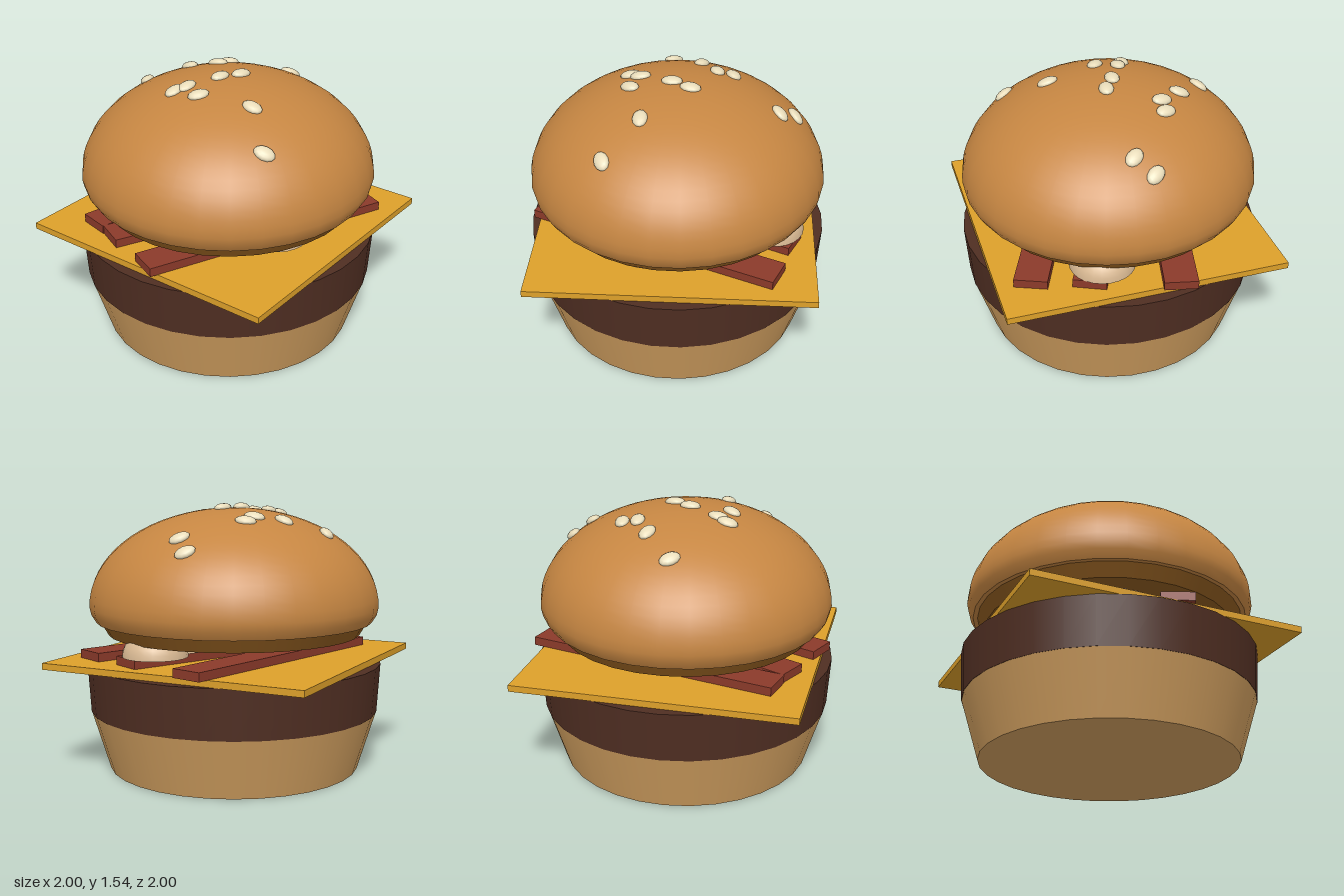
import * as THREE from 'three';
import { toCreasedNormals } from 'three/addons/utils/BufferGeometryUtils.js';

const SIDES = 32;
const paint = (color) => new THREE.MeshStandardMaterial({ color });

export function createModel() {
  const group = new THREE.Group();

  const add = (name, geometry, material, x = 0, y = 0, z = 0, yaw = 0) => {
    const mesh = new THREE.Mesh(geometry, material);
    mesh.name = name;
    mesh.position.set(x, y, z);
    mesh.rotation.y = yaw;
    group.add(mesh);
    return mesh;
  };

  // Tapered round layer from y0 to y1
  const layer = (name, rBottom, rTop, y0, y1, material) =>
    add(name, new THREE.CylinderGeometry(rTop, rBottom, y1 - y0, SIDES), material, 0, (y0 + y1) / 2);

  layer('bottomBun', 0.73, 0.835, 0, 0.342, paint(0xd2a060));
  layer('patty', 0.837, 0.855, 0.342, 0.624, paint(0x4f2e22));

  // Cheese slice turned on the patty
  add('cheese', new THREE.BoxGeometry(1.587, 0.037, 1.587), paint(0xdda02a), 0, 0.6425, 0, Math.PI / 10);

  // Bacon strips: z, yaw
  const baconMaterial = paint(0x8b3a2a);
  for (const [z, yaw] of [[0.34, -0.087], [0, -0.12], [-0.335, 0.087]]) {
    add('baconStrip', new THREE.BoxGeometry(1.5, 0.05, 0.185), baconMaterial, 0, 0.685, z, yaw);
  }

  // Mushroom caps: closed half domes tucked under the top bun
  const capProfile = [new THREE.Vector2(0, 0)];
  for (let i = 0; i <= 8; i++) {
    const a = (i / 8) * Math.PI / 2;
    capProfile.push(new THREE.Vector2(Math.max(0, 0.183 * Math.cos(a)), 0.15 * Math.sin(a)));
  }
  const capGeometry = toCreasedNormals(new THREE.LatheGeometry(capProfile, 24), 0.6);
  const capMaterial = paint(0xd9b993);
  for (const [x, z] of [[0, 0.46], [0.35, 0.12], [0.585, 0.025], [-0.2, 0.2], [-0.44, 0.03]]) {
    add('mushroomCap', capGeometry, capMaterial, x, 0.71, z);
  }

  // Top bun: cut face below, rounded rim and dome above
  layer('topBunHeel', 0.73, 0.775, 0.785, 0.862, paint(0x8f5c20));
  const R = 0.838, RIM = 0.95, H = 0.558;
  const domeProfile = [[0, 0.86], [0.8, 0.86], [0.828, 0.905]].map(([r, y]) => new THREE.Vector2(r, y));
  for (let i = 0; i <= 18; i++) {
    const a = (i / 18) * Math.PI / 2;
    domeProfile.push(new THREE.Vector2(Math.max(0, R * Math.cos(a)), RIM + H * Math.sin(a)));
  }
  const domeGeometry = toCreasedNormals(new THREE.LatheGeometry(domeProfile, SIDES), 0.6);
  add('topBun', domeGeometry, paint(0xc68642));

  // Sesame seeds lying on the dome: x, z, turn of the long axis
  const seedGeometry = new THREE.SphereGeometry(1, 12, 8);
  seedGeometry.scale(0.06, 0.025, 0.042);
  const seedMaterial = paint(0xe8dcba);
  const seeds = [
    [-0.22, -0.51, 1.0], [0.0, -0.39, 1.6], [0.13, -0.29, 2.1], [0.22, -0.31, 2.2],
    [0.61, -0.25, 2.6], [0.55, -0.14, 2.6], [-0.31, -0.07, 0.2], [-0.24, -0.05, 0.2],
    [-0.04, -0.02, 0.2], [0.08, 0.01, 0.1], [-0.25, 0.08, -0.35], [-0.08, 0.34, 1.9],
    [-0.19, 0.6, 2.2],
  ];
  const up = new THREE.Vector3(0, 1, 0);
  for (const [x, z, turn] of seeds) {
    const h = Math.sqrt(1 - (x * x + z * z) / (R * R));
    const seed = add('sesameSeed', seedGeometry, seedMaterial, x, RIM + H * h + 0.003, z);
    const normal = new THREE.Vector3(x / (R * R), h / H, z / (R * R)).normalize();
    seed.quaternion.setFromUnitVectors(up, normal)
      .multiply(new THREE.Quaternion().setFromAxisAngle(up, turn));
  }

  return group;
}
